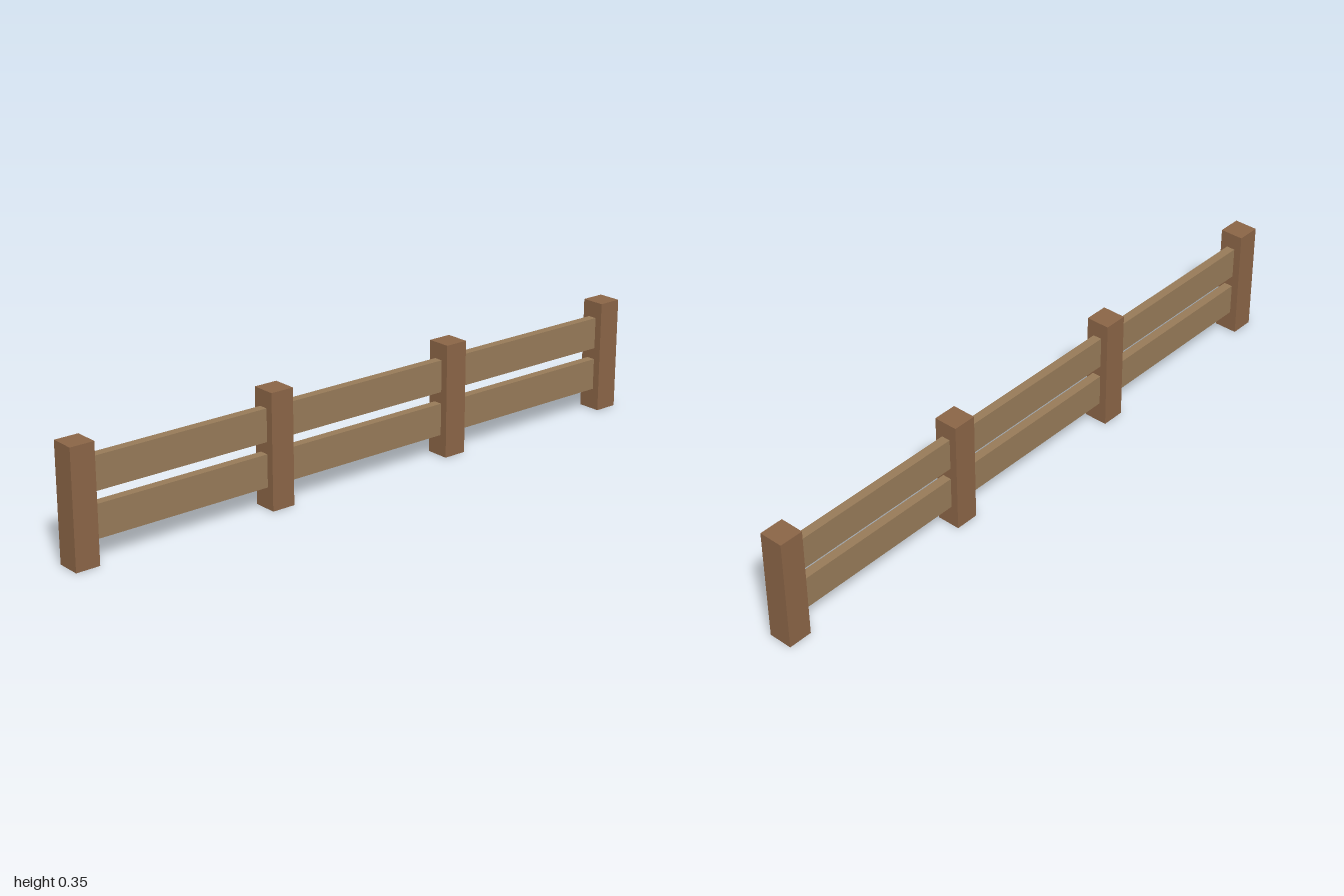
import * as THREE from 'three';

const POST = 0.074, HEIGHT = 0.347, SPACING = 0.642;
const RAIL_HEIGHT = 0.098, RAIL_THICKNESS = 0.028;

export function createModel() {
  const fence = new THREE.Group();
  fence.name = 'fence';
  const postWood = new THREE.MeshStandardMaterial({ color: 0x8a6446 });
  const railWood = new THREE.MeshStandardMaterial({ color: 0x967a58 });

  const addBox = (name, material, size, y, z) => {
    const mesh = new THREE.Mesh(new THREE.BoxGeometry(...size), material);
    mesh.name = name;
    mesh.position.set(0, y, z);
    fence.add(mesh);
  };

  // Four square posts, evenly spaced along z
  for (let i = 0; i < 4; i++) {
    addBox(`post${i + 1}`, postWood, [POST, HEIGHT, POST], HEIGHT / 2, (i - 1.5) * SPACING);
  }

  // Two rails in each bay, fitted between neighbouring posts
  const railLength = SPACING - POST;
  for (let i = 0; i < 3; i++) {
    const z = (i - 1) * SPACING;
    addBox(`lowerRail${i + 1}`, railWood, [RAIL_THICKNESS, RAIL_HEIGHT, railLength], 0.114, z);
    addBox(`upperRail${i + 1}`, railWood, [RAIL_THICKNESS, RAIL_HEIGHT, railLength], 0.248, z);
  }
  return fence;
}
